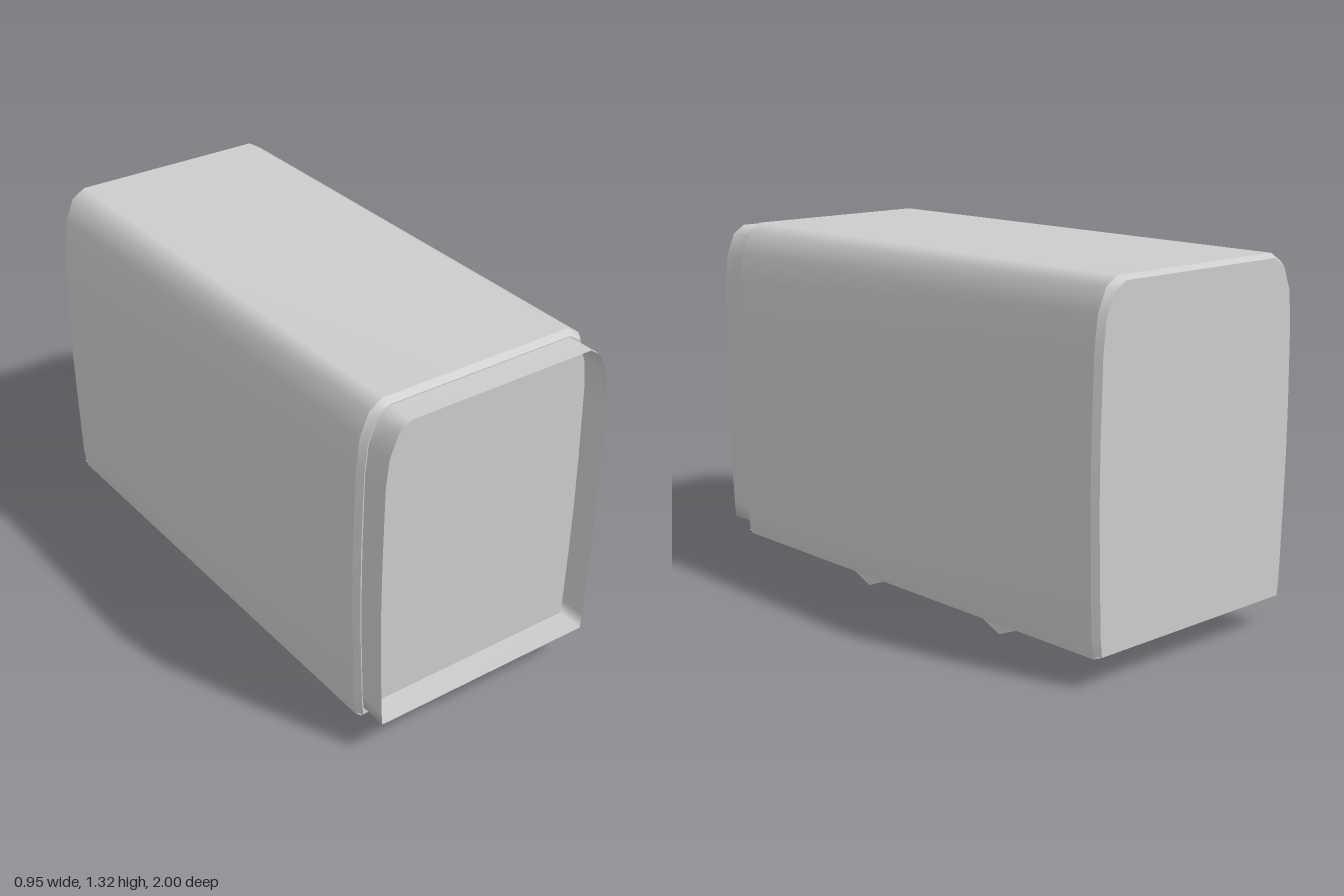
import * as THREE from 'three';

// Right half of the body cross-section, from the bottom edge up to the roof
const BODY = [[0.45, 0.105], [0.462, 0.17], [0.47, 0.42], [0.475, 0.62], [0.475, 0.8],
  [0.468, 1.09], [0.455, 1.205], [0.42, 1.285], [0.37, 1.315]];
const END = [[0.44, 0.115], [0.447, 0.18], [0.456, 0.42], [0.461, 0.62], [0.461, 0.8],
  [0.455, 1.08], [0.443, 1.19], [0.41, 1.27], [0.36, 1.301]];
const GANGWAY = [[0.437, 0.145], [0.442, 0.2], [0.45, 0.42], [0.454, 0.62], [0.454, 0.8],
  [0.449, 1.08], [0.437, 1.185], [0.404, 1.265], [0.358, 1.295]];

const mirror = half => [...half, ...half.slice().reverse().map(([x, y]) => [-x, y])];

// Smooth surface through cross-sections, each given as [half profile, z]
function loft(sections, closed = false) {
  const pos = [], idx = [];
  const n = sections[0][0].length * 2;
  for (const [half, z] of sections) for (const [x, y] of mirror(half)) pos.push(x, y, z);
  for (let s = 0; s < sections.length - 1; s++) {
    for (let i = 0; i < (closed ? n : n - 1); i++) {
      const a = s * n + i, b = s * n + (i + 1) % n;
      idx.push(a, b, a + n, b, b + n, a + n);
    }
  }
  const g = new THREE.BufferGeometry();
  g.setAttribute('position', new THREE.Float32BufferAttribute(pos, 3));
  g.setIndex(idx);
  g.computeVertexNormals();
  return g;
}

const panel = half => new THREE.ShapeGeometry(
  new THREE.Shape(mirror(half).map(([x, y]) => new THREE.Vector2(x, y))));

export function createModel() {
  const group = new THREE.Group();
  const grey = new THREE.MeshStandardMaterial({ color: 0xcccccc, side: THREE.DoubleSide });
  grey.name = 'plain grey';

  const add = (name, geometry, x = 0, y = 0, z = 0) => {
    const mesh = new THREE.Mesh(geometry, grey);
    mesh.name = name;
    mesh.position.set(x, y, z);
    group.add(mesh);
    return mesh;
  };

  // Body shell with bevelled rims
  add('bodyShell', loft([[BODY, -0.975], [BODY, 0.875]]));
  add('frontRim', loft([[BODY, 0.875], [END, 0.9]]));
  add('backRim', loft([[END, -1], [BODY, -0.975]]));

  // End walls and floor
  add('frontWall', panel(END), 0, 0, 0.897);
  add('backWall', panel(END), 0, 0, -1).rotation.y = Math.PI;
  add('floor', new THREE.PlaneGeometry(0.9, 1.89), 0, 0.115, -0.05).rotation.x = Math.PI / 2;

  // Open passage collar at the front
  add('gangway', loft([[GANGWAY, 0.89], [GANGWAY, 1]], true));

  // Underfloor rails and half-sunk eight-sided wheels
  const wheel = new THREE.CylinderGeometry(0.113, 0.113, 0.04, 8).rotateZ(Math.PI / 2);
  for (const side of [1, -1]) {
    add('rail', new THREE.BoxGeometry(0.04, 0.012, 1), side * 0.34, 0.109, -0.045);
    for (const z of [0.31, -0.4]) add('wheel', wheel, side * 0.3, 0.113, z);
  }
  return group;
}
